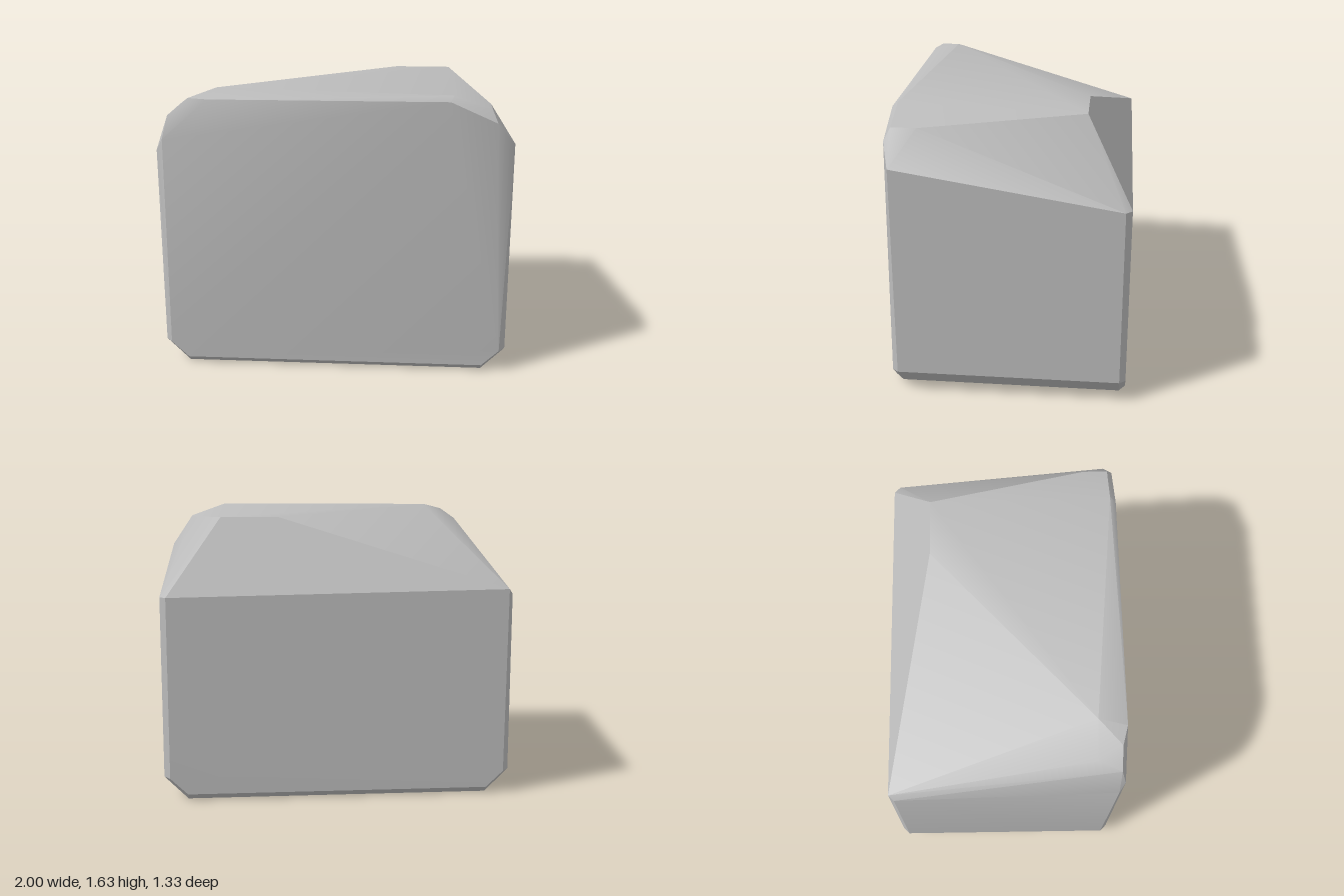
import * as THREE from 'three';
import { ConvexGeometry } from 'three/addons/geometries/ConvexGeometry.js';
import { toCreasedNormals } from 'three/addons/utils/BufferGeometryUtils.js';

export function createModel() {
  const stone = new THREE.MeshStandardMaterial({ color: 0xbcbcbc });
  stone.name = 'stone grey';

  // Upper corners, cut at irregular slopes
  const corners = [
    // back left low corner, back ridge, back right corner
    [-0.975, 1.2, -0.66], [-1, 1.17, -0.63],
    [0.33, 1.6, -0.41], [0.66, 1.6, -0.41],
    [0.965, 1.17, -0.665], [1, 1.17, -0.63],
    // front right bevels
    [0.87, 1.56, 0.49], [0.87, 1.56, 0.63], [0.9, 1.49, 0.665], [1, 1.37, 0.63],
    // top front edge
    [0.66, 1.635, 0.63], [0.64, 1.605, 0.665],
    [-0.67, 1.635, 0.5], [-0.7, 1.6, 0.66], [-0.81, 1.6, 0.63],
    // front left bevels
    [-0.88, 1.54, 0.5], [-0.93, 1.5, 0.63], [-0.96, 1.37, 0.66], [-1, 1.3, 0.63],
  ];

  // Bevelled foot, mirrored to all four corners
  for (const sx of [-1, 1]) {
    for (const sz of [-1, 1]) {
      corners.push(
        [sx * 0.865, 0, sz * 0.63],
        [sx * 0.865, 0.035, sz * 0.665],
        [sx * 0.965, 0.13, sz * 0.665],
        [sx, 0.135, sz * 0.63],
      );
    }
  }

  const hull = new ConvexGeometry(corners.map((c) => new THREE.Vector3(...c)));
  const block = new THREE.Mesh(toCreasedNormals(hull, 0.5), stone);
  block.name = 'stoneBlock';

  const model = new THREE.Group();
  model.name = 'stone';
  model.add(block);
  return model;
}
